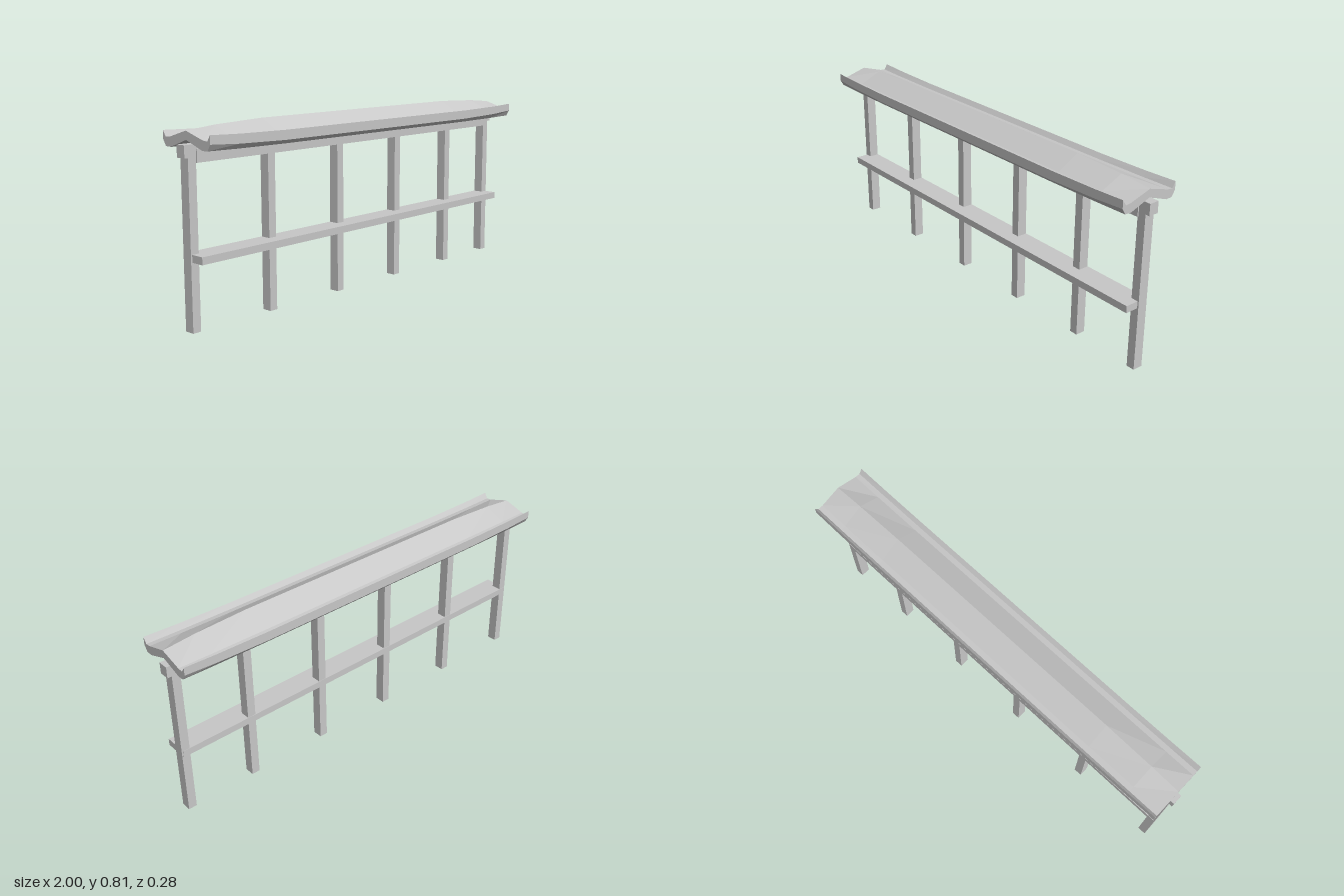
import * as THREE from 'three';

export function createModel() {
  const model = new THREE.Group();
  const grey = new THREE.MeshStandardMaterial({ color: 0xc8c8c8, flatShading: true });
  grey.name = 'plain grey';

  // Box given by its lower and upper bounds
  const box = (name, [x0, x1], [y0, y1], [z0, z1]) => {
    const mesh = new THREE.Mesh(new THREE.BoxGeometry(x1 - x0, y1 - y0, z1 - z0), grey);
    mesh.position.set((x0 + x1) / 2, (y0 + y1) / 2, (z0 + z1) / 2);
    mesh.name = name;
    model.add(mesh);
  };

  // Posts, with short struts to the roof above the inner ones
  const postX = [-0.965, -0.56, -0.15, 0.243, 0.632, 0.962];
  postX.forEach((x, i) => {
    box('post', [x - 0.019, x + 0.019], [0, 0.69], [-0.035, 0.01]);
    if (i > 0 && i < 5) box('roofStrut', [x - 0.015, x + 0.015], [0.73, 0.765], [-0.028, 0.006]);
  });

  // Top beam, front board and bench
  box('topBeam', [-1, 1], [0.684, 0.734], [-0.035, 0.01]);
  box('frontBoard', [-0.945, 0.947], [0.663, 0.718], [-0.008, 0.015]);
  box('bench', [-0.978, 0.975], [0.281, 0.312], [-0.037, 0.07]);

  // Roof sections, half outline as [z, middle y, end y] from the lip over the ridge
  const upper = [[0.14, 0.77, 0.78], [0.124, 0.75, 0.755], [0.1, 0.753, 0.757], [0, 0.809, 0.787]];
  const lower = [[0, 0.768, 0.752], [0.095, 0.715, 0.718], [0.124, 0.714, 0.719], [0.14, 0.73, 0.745]];
  const mirror = (list) => list.filter((p) => p[0] > 0).map(([z, m, e]) => [-z, m, e]).reverse();
  const outline = [...upper, ...mirror(upper), ...mirror(lower), ...lower];
  const stations = [[-0.982, 1], [-0.84, 0.42], [-0.6, 0], [0.6, 0], [0.84, 0.42], [0.985, 1]];
  const rings = stations.map(([x, t]) =>
    outline.map(([z, m, e]) => new THREE.Vector3(x, m + (e - m) * t, z)));

  const points = [];
  const n = outline.length;
  for (let s = 0; s < rings.length - 1; s++) {
    for (let i = 0; i < n; i++) {
      const j = (i + 1) % n;
      const a = rings[s][i], b = rings[s][j], c = rings[s + 1][j], d = rings[s + 1][i];
      points.push(a, d, c, a, c, b);
    }
  }
  // End caps
  const first = rings[0], last = rings[rings.length - 1];
  const flat = first.map((p) => new THREE.Vector2(p.z, p.y));
  for (const [a, b, c] of THREE.ShapeUtils.triangulateShape(flat, [])) {
    points.push(first[a], first[b], first[c], last[a], last[c], last[b]);
  }
  const geometry = new THREE.BufferGeometry().setFromPoints(points);
  geometry.computeVertexNormals();
  const roof = new THREE.Mesh(geometry, grey);
  roof.name = 'roof';
  model.add(roof);

  return model;
}
